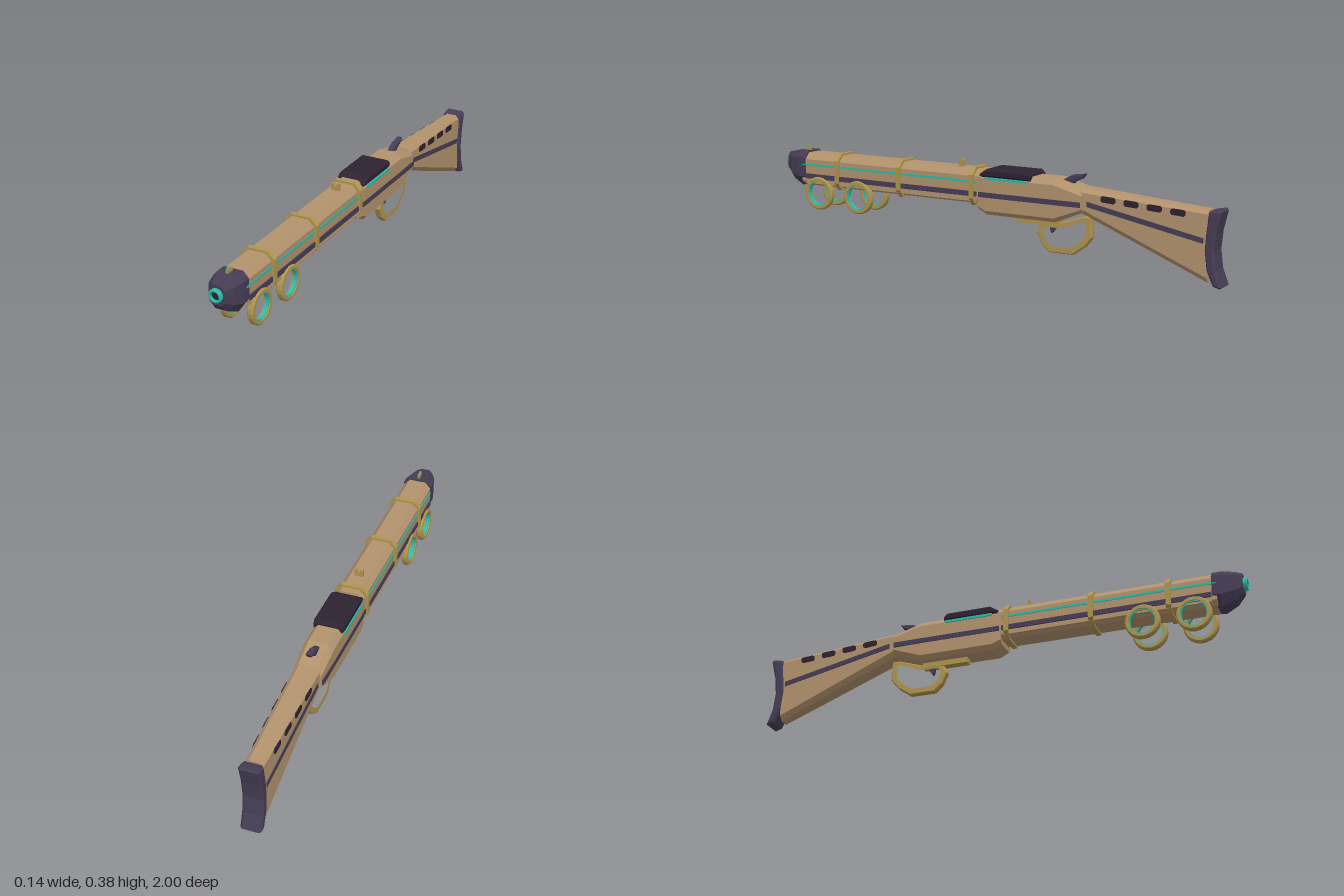
import * as THREE from 'three';

const mat = (name, color) => Object.assign(new THREE.MeshStandardMaterial({ color, flatShading: true }), { name });

// Octagonal cross-section: half width w, bottom b, top t, chamfers for top and bottom
const oct = (z, w, b, t, tx, ty, bx = tx, by = ty) => ({
  z,
  pts: [[w, b + by], [w, t - ty], [w - tx, t], [tx - w, t], [-w, t - ty], [-w, b + by], [bx - w, b], [w - bx, b]],
});
const rect = (z, w, b, t) => ({ z, pts: [[w, b], [w, t], [-w, t], [-w, b]] });

// Closed solid through sections listed from front (+z) to back
function loft(sections) {
  const n = sections[0].pts.length, pos = [], idx = [];
  sections.forEach((s) => s.pts.forEach(([x, y]) => pos.push(x, y, s.z)));
  for (let s = 0; s < sections.length - 1; s++) {
    for (let i = 0; i < n; i++) {
      const j = (i + 1) % n, a = s * n, b = a + n;
      idx.push(a + i, b + i, b + j, a + i, b + j, a + j);
    }
  }
  const e = (sections.length - 1) * n;
  for (let i = 1; i < n - 1; i++) {
    idx.push(0, i, i + 1, e, e + i + 1, e + i);
  }
  const g = new THREE.BufferGeometry();
  g.setAttribute('position', new THREE.Float32BufferAttribute(pos, 3));
  g.setIndex(idx);
  const flat = g.toNonIndexed();
  flat.computeVertexNormals();
  return flat;
}

// Side profile of [z, y] points, extruded across x and centred
function side(points, width, bevel = 0, hole = null) {
  const v = (a) => a.map(([z, y]) => new THREE.Vector2(z, y));
  const shape = new THREE.Shape(v(points));
  if (hole) shape.holes.push(new THREE.Path(v(hole)));
  const depth = width - 2 * bevel;
  const g = new THREE.ExtrudeGeometry(shape, {
    depth, bevelEnabled: bevel > 0, bevelSize: bevel, bevelThickness: bevel, bevelOffset: -bevel, bevelSegments: 1,
  });
  return g.translate(0, 0, -depth / 2).rotateY(-Math.PI / 2);
}

// Hollow ring around the y axis with chamfered outer edges
function hoop(R, r, h, c, seg) {
  const p = [[r, -h], [R - c, -h], [R, c - h], [R, h - c], [R - c, h], [r, h], [r, -h]];
  return new THREE.LatheGeometry(p.map(([x, y]) => new THREE.Vector2(x, y)), seg);
}

export function createModel() {
  const wood = mat('wood', 0xb3936d), brass = mat('brass', 0xb0954f), violet = mat('darkViolet', 0x463d55),
    black = mat('nearBlack', 0x2d2231), teal = mat('teal', 0x2cbcab);
  const model = new THREE.Group();
  const add = (name, geo, material, x = 0, y = 0, z = 0) => {
    const m = new THREE.Mesh(geo, material);
    m.name = name;
    m.position.set(x, y, z);
    model.add(m);
    return m;
  };

  // Barrel with its long side stripes
  add('barrel', loft([0.89, 0.01].map((z) => oct(z, 0.058, 0.222, 0.357, 0.023, 0.025, 0.02, 0.018))), wood);
  add('barrelTealStripe', loft([0.89, 0.03].map((z) => rect(z, 0.061, 0.306, 0.315))), teal);
  add('barrelDarkStripe', loft([0.87, 0.03].map((z) => rect(z, 0.063, 0.252, 0.272))), violet);
  add('barrelLowerRail', loft([0.87, 0.03].map((z) => rect(z, 0.06, 0.232, 0.24))), wood);

  // Bands around the barrel
  for (const z of [0.705, 0.397, 0.05]) {
    add('barrelBand', loft([z + 0.01, z - 0.01].map((k) => oct(k, 0.069, 0.214, 0.365, 0.027, 0.028, 0.025, 0.03))), brass);
  }

  // Muzzle cap and tip
  add('muzzleCap', loft([
    oct(0.985, 0.032, 0.272, 0.35, 0.014, 0.016),
    oct(0.955, 0.049, 0.24, 0.357, 0.019, 0.02, 0.022, 0.03),
    oct(0.905, 0.061, 0.217, 0.363, 0.022, 0.024, 0.027, 0.04),
    oct(0.872, 0.061, 0.225, 0.363, 0.022, 0.024, 0.027, 0.036),
  ]), violet);
  add('muzzleTip', hoop(0.027, 0.018, 0.015, 0.004, 20).rotateX(Math.PI / 2), teal, 0, 0.312, 0.985);
  add('muzzleBore', new THREE.CircleGeometry(0.019, 20), black, 0, 0.312, 0.988);

  // Sights
  add('frontSight', new THREE.BoxGeometry(0.01, 0.022, 0.03), brass, 0, 0.368, 0.9);
  add('frontSightBead', new THREE.BoxGeometry(0.007, 0.008, 0.012), teal, 0, 0.379, 0.908);
  const notch = [[-0.018, 0.355], [0.018, 0.355], [0.018, 0.387], [0.008, 0.387], [0, 0.37], [-0.008, 0.387], [-0.018, 0.387]];
  add('rearSight', new THREE.ExtrudeGeometry(new THREE.Shape(notch.map(([x, y]) => new THREE.Vector2(x, y))),
    { depth: 0.01, bevelEnabled: false }), brass, 0, 0, 0.125);

  // Hanging side rings with teal linings
  for (const x of [-0.0565, 0.0565]) {
    for (const z of [0.8, 0.6]) {
      add('sideRing', hoop(0.069, 0.053, 0.0135, 0.005, 24).rotateZ(-Math.PI / 2), brass, x, 0.194, z);
      add('sideRingLining', hoop(0.055, 0.049, 0.008, 0.001, 24).rotateZ(-Math.PI / 2), teal, x, 0.194, z);
    }
  }

  // Receiver, its stripe and top cover
  add('receiver', loft([
    oct(0.025, 0.058, 0.2, 0.343, 0.018, 0.02, 0.015, 0.015),
    oct(-0.01, 0.06, 0.182, 0.35, 0.02, 0.022, 0.017, 0.017),
    oct(-0.315, 0.06, 0.182, 0.35, 0.02, 0.022, 0.017, 0.017),
    oct(-0.435, 0.057, 0.232, 0.318, 0.02, 0.022, 0.015, 0.012),
  ]), wood);
  add('receiverStripe', loft([0.02, -0.43].map((z) => rect(z, 0.063, 0.252, 0.272))), violet);
  add('topCover', loft([
    oct(0.014, 0.059, 0.332, 0.345, 0.005, 0.005),
    oct(-0.02, 0.063, 0.332, 0.366, 0.007, 0.008),
    oct(-0.2, 0.063, 0.332, 0.366, 0.007, 0.008),
    oct(-0.214, 0.059, 0.332, 0.355, 0.005, 0.005),
  ]), black);
  add('coverGlowStrip', loft([-0.01, -0.205].map((z) => rect(z, 0.065, 0.323, 0.333))), teal);

  // Hammer
  add('hammer', side([[-0.31, 0.33], [-0.33, 0.345], [-0.37, 0.366], [-0.425, 0.373], [-0.412, 0.354],
    [-0.38, 0.34], [-0.37, 0.32]], 0.024, 0.004), violet);

  // Trigger, guard and plate
  add('triggerPlate', new THREE.BoxGeometry(0.034, 0.024, 0.19), brass, 0, 0.172, -0.225);
  add('triggerGuard', side(
    [[-0.235, 0.17], [-0.218, 0.13], [-0.24, 0.082], [-0.272, 0.055], [-0.375, 0.055], [-0.425, 0.09], [-0.458, 0.13],
      [-0.455, 0.21], [-0.425, 0.21], [-0.32, 0.175]], 0.028, 0.004,
    [[-0.252, 0.158], [-0.24, 0.13], [-0.257, 0.095], [-0.282, 0.076], [-0.37, 0.076], [-0.41, 0.104], [-0.437, 0.136],
      [-0.436, 0.19], [-0.42, 0.195], [-0.325, 0.158]]), brass);
  add('trigger', side([[-0.272, 0.17], [-0.298, 0.17], [-0.293, 0.145], [-0.28, 0.13], [-0.274, 0.14]], 0.014), violet);

  // Stock, tapering toward the butt
  const half = (z) => 0.049 + (z + 0.43) * 0.026;
  const stockAt = (z, b, t) => oct(z, half(z), b, t, 0.016, 0.014, 0.016, 0.02);
  add('stock', loft([stockAt(-0.425, 0.227, 0.323), stockAt(-0.94, 0.018, 0.288)]), wood);
  add('stockStripe', loft([
    rect(-0.455, half(-0.455) + 0.003, 0.256, 0.276),
    rect(-0.925, half(-0.925) + 0.003, 0.165, 0.185),
  ]), violet);
  for (let i = 0; i < 4; i++) {
    const z = -0.542 - i * 0.094, y = 0.29 - i * 0.0065;
    add('stockSlot', side([[0.03, -0.006], [0.024, -0.012], [-0.024, -0.012], [-0.03, -0.006],
      [-0.03, 0.006], [-0.024, 0.012], [0.024, 0.012], [0.03, 0.006]], 2 * half(z) + 0.006), black, 0, y, z)
      .rotation.x = -0.06;
  }

  // Curved butt plate
  add('buttPlate', side([[-0.945, 0.285], [-0.985, 0.294], [-0.992, 0.285], [-0.974, 0.21], [-0.967, 0.14], [-0.976, 0.07],
    [-1, 0.008], [-0.992, 0.002], [-0.965, 0.01], [-0.938, 0.07], [-0.929, 0.14], [-0.934, 0.21]], 0.083, 0.008), violet);

  return model;
}
